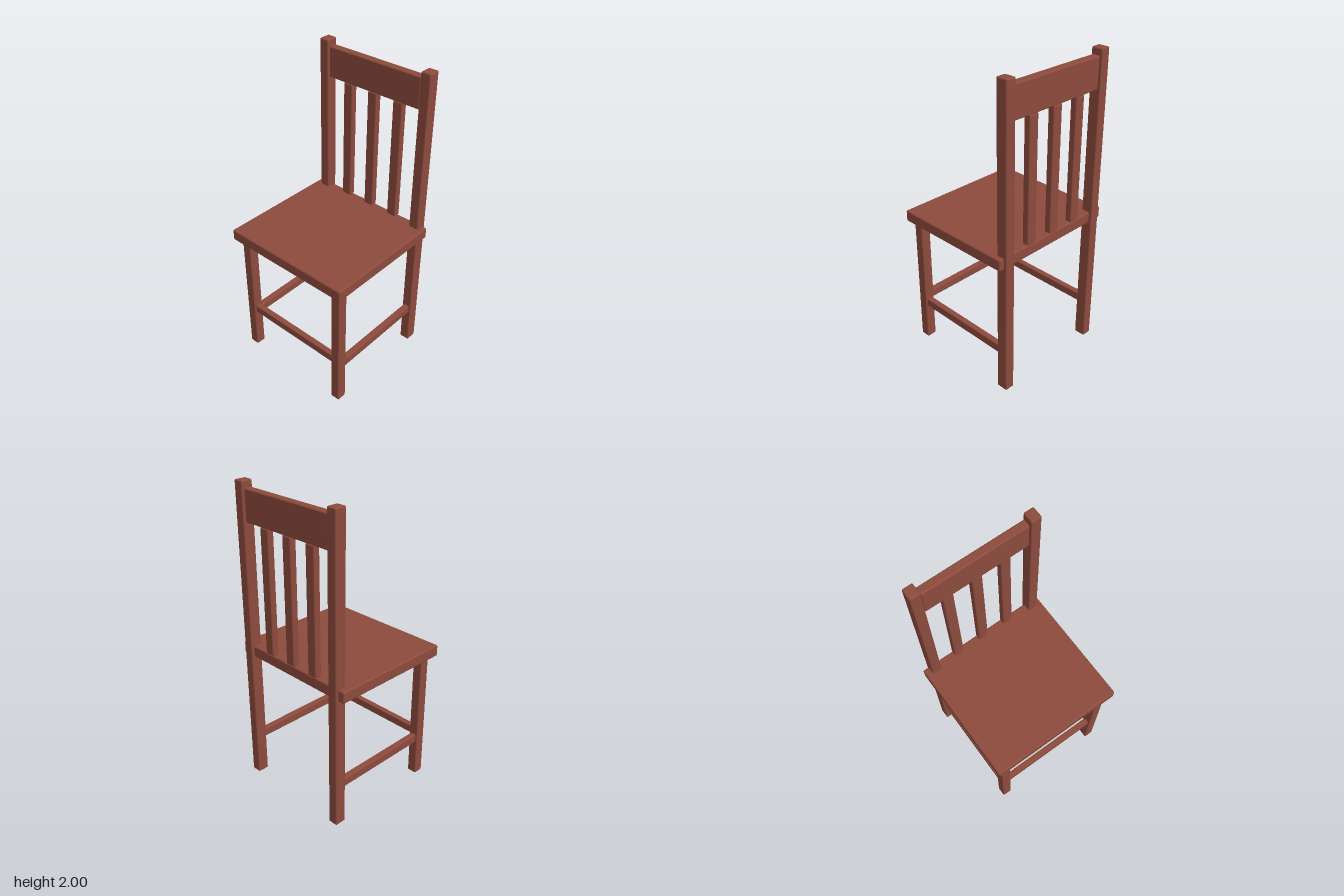
import * as THREE from 'three';
import { RoundedBoxGeometry } from 'three/addons/geometries/RoundedBoxGeometry.js';

export function createModel() {
  const chair = new THREE.Group();
  chair.name = 'chair';
  const wood = new THREE.MeshStandardMaterial({ color: 0x8d4b3d });
  wood.name = 'reddish brown wood';

  // A softened plank spanning the given ranges on each axis
  function plank(name, [x0, x1], [y0, y1], [z0, z1], radius = 0.009) {
    const geometry = new RoundedBoxGeometry(x1 - x0, y1 - y0, z1 - z0, 2, radius);
    const mesh = new THREE.Mesh(geometry, wood);
    mesh.name = name;
    mesh.position.set((x0 + x1) / 2, (y0 + y1) / 2, (z0 + z1) / 2);
    chair.add(mesh);
  }

  plank('seat', [-0.447, 0.447], [0.885, 0.96], [-0.407, 0.425], 0.01);

  // Legs and side stretchers, one set per side
  const sides = [['right', -0.406, -0.34], ['left', 0.347, 0.414]];
  for (const [side, x0, x1] of sides) {
    const mid = (x0 + x1) / 2;
    plank(side + 'BackPost', [x0, x1], [0, 2], [-0.427, -0.35]);
    plank(side + 'FrontLeg', [x0, x1], [0, 0.885], [0.32, 0.387]);
    plank(side + 'Stretcher', [mid - 0.02, mid + 0.02], [0.25, 0.307], [-0.355, 0.325], 0.006);
  }
  plank('frontStretcher', [-0.345, 0.352], [0.293, 0.348], [0.333, 0.373], 0.006);

  // Backrest
  plank('topRail', [-0.338, 0.345], [1.76, 1.96], [-0.415, -0.362]);
  for (const x of [-0.19, -0.001, 0.189]) {
    plank('backSlat', [x - 0.034, x + 0.034], [0.96, 1.76], [-0.411, -0.366]);
  }

  return chair;
}
